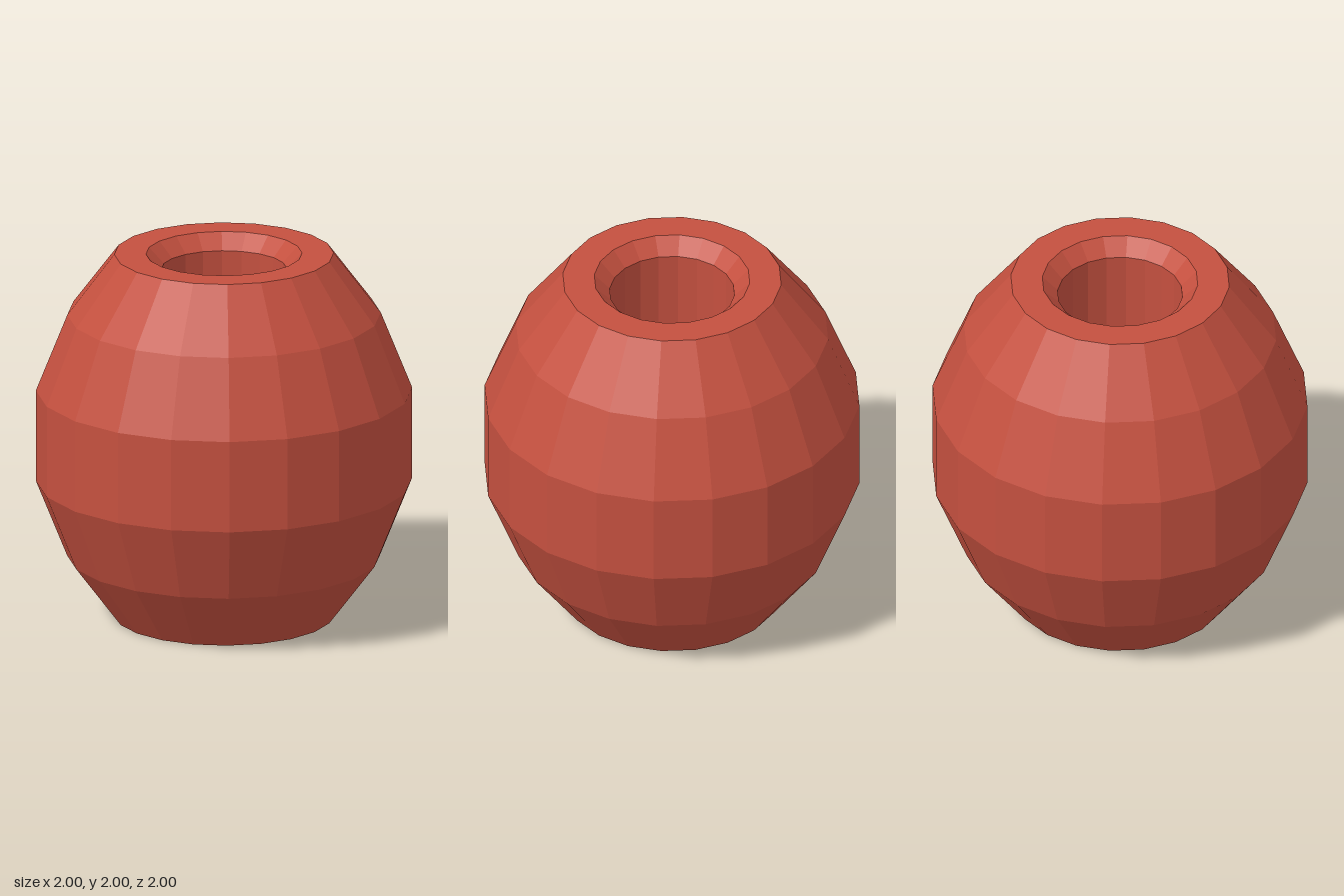
import * as THREE from 'three';

export function createModel() {
  const model = new THREE.Group();
  model.name = 'barrelBead';

  // Upper half of the closed profile as [radius, height above the middle]
  const outer = [[1, 0.25], [0.833, 0.667], [0.583, 1]];
  const bore = [[0.415, 1], [0.333, 0.917]]; // chamfered rim of the hole

  // Up the outside, then down through the bore
  const flip = (pts) => pts.map(([r, y]) => [r, -y]).reverse();
  const loop = [...flip(outer), ...outer, ...bore, ...flip(bore)];
  loop.push(loop[0]);
  const profile = loop.map(([r, y]) => new THREE.Vector2(r, y + 1));

  const bead = new THREE.Mesh(
    new THREE.LatheGeometry(profile, 20),
    new THREE.MeshStandardMaterial({ color: 0xc4503f, flatShading: true })
  );
  bead.name = 'bead';
  model.add(bead);
  return model;
}
